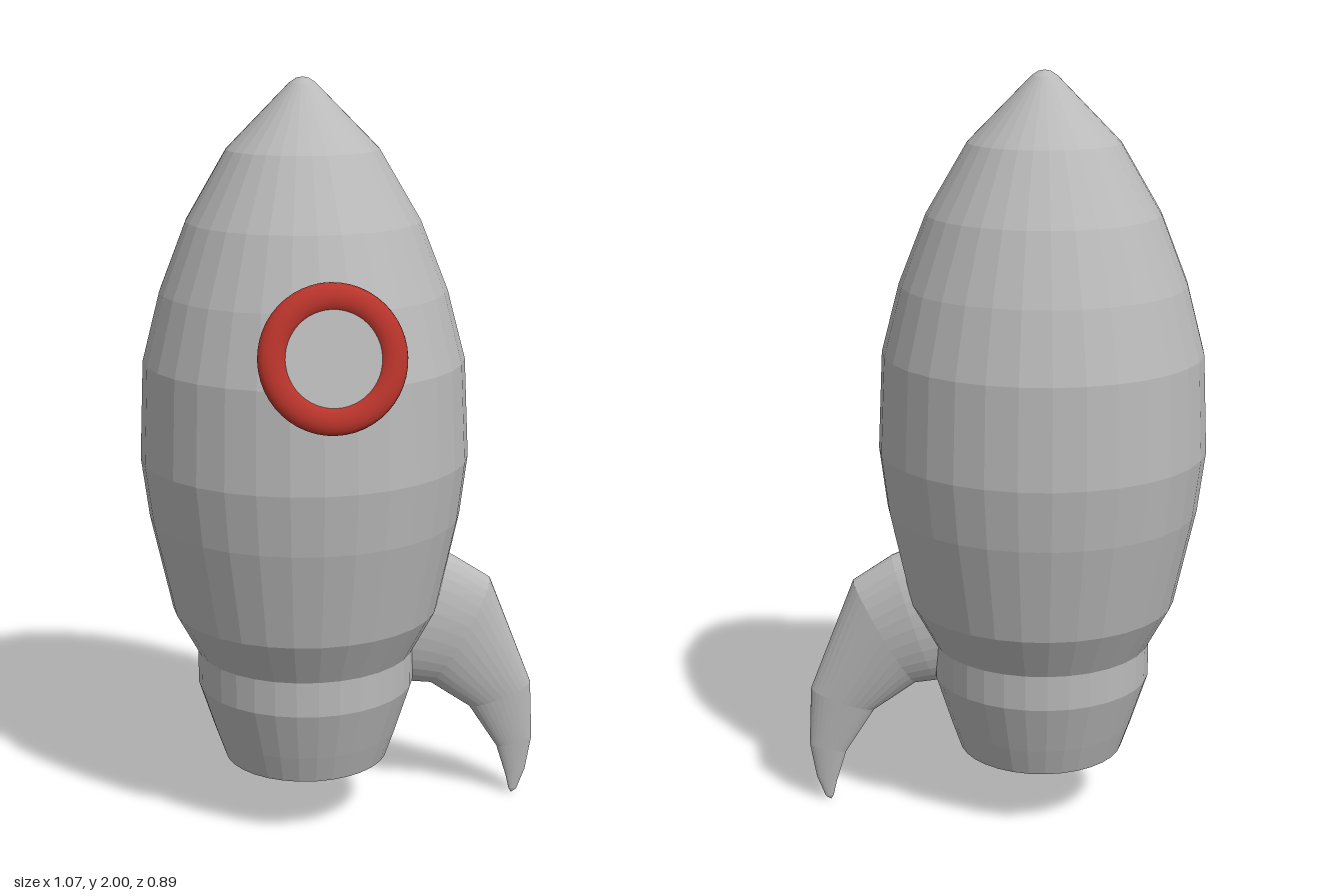
import * as THREE from 'three';

const grey = new THREE.MeshStandardMaterial({ color: 0xbababa, flatShading: true });
grey.name = 'hullGrey';
const red = new THREE.MeshStandardMaterial({ color: 0xb8342b });
red.name = 'portholeRed';

const AXIS_X = -0.105, AXIS_Z = -0.008;

function add(parent, name, geometry, material) {
  const mesh = new THREE.Mesh(geometry, material);
  mesh.name = name;
  parent.add(mesh);
  return mesh;
}

// Curved horn: elliptical rings, each spanning an inner and an outer point in the xy plane
function hornGeometry(sections, tip, sides) {
  const pos = [], idx = [];
  for (const [ox, oy, ix, iy, halfWidth] of sections) {
    for (let j = 0; j < sides; j++) {
      const a = (j / sides) * Math.PI * 2, c = Math.cos(a) / 2;
      pos.push((ox + ix) / 2 + (ox - ix) * c, (oy + iy) / 2 + (oy - iy) * c, Math.sin(a) * halfWidth);
    }
  }
  const last = (sections.length - 1) * sides, tipIndex = sections.length * sides;
  pos.push(tip[0], tip[1], 0);
  for (let j = 0; j < sides; j++) {
    const k = (j + 1) % sides;
    for (let r = 0; r < last; r += sides) {
      idx.push(r + j, r + sides + j, r + k, r + k, r + sides + j, r + sides + k);
    }
    idx.push(last + j, tipIndex, last + k);
    if (j > 0 && j < sides - 1) idx.push(0, j, j + 1); // root cap, inside the hull
  }
  // rings run from the hull outwards, so reverse the corners to face outside
  for (let i = 0; i < idx.length; i += 3) [idx[i + 1], idx[i + 2]] = [idx[i + 2], idx[i + 1]];
  const g = new THREE.BufferGeometry();
  g.setAttribute('position', new THREE.Float32BufferAttribute(pos, 3));
  g.setIndex(idx);
  g.computeVertexNormals();
  return g;
}

export function createModel() {
  const model = new THREE.Group();
  model.name = 'rocket';

  // Hull with nozzle, one turned profile from the base to the nose
  const profile = [
    [0, 0.172], [0.223, 0.172], [0.25, 0.25], [0.293, 0.385], [0.293, 0.48], [0.357, 0.6],
    [0.413, 0.86], [0.433, 1.02], [0.421, 1.28], [0.374, 1.46], [0.303, 1.64],
    [0.197, 1.82], [0.034, 1.985], [0.016, 1.997], [0, 2],
  ].map(([r, y]) => new THREE.Vector2(r, y));
  const hull = add(model, 'hull', new THREE.LatheGeometry(profile, 32), grey);
  hull.position.set(AXIS_X, 0, AXIS_Z);

  // Single curved fin: outer x, y, inner x, y, half width
  const fin = add(model, 'fin', hornGeometry([
    [0.2, 0.76, 0.09, 0.37, 0.083],
    [0.3, 0.717, 0.185, 0.357, 0.082],
    [0.405, 0.648, 0.24, 0.35, 0.07],
    [0.527, 0.335, 0.355, 0.27, 0.037],
    [0.535, 0.17, 0.435, 0.145, 0.02],
    [0.518, 0.07, 0.463, 0.055, 0.01],
    [0.495, 0.01, 0.473, 0.012, 0.005],
  ], [0.48, 0], 32), grey);
  fin.position.z = AXIS_Z;

  // Porthole: flattened red ring around a pane, leaning back with the hull
  const porthole = new THREE.Group();
  porthole.name = 'porthole';
  porthole.position.set(-0.08, 1.355, 0.389);
  porthole.rotation.set(-0.23, 0.05, 0);
  const ring = add(porthole, 'portholeRing', new THREE.TorusGeometry(0.149, 0.036, 16, 48), red);
  ring.scale.z = 0.65;
  const pane = add(porthole, 'portholePane', new THREE.CircleGeometry(0.14, 48), grey);
  pane.position.z = 0.012;
  model.add(porthole);

  return model;
}
